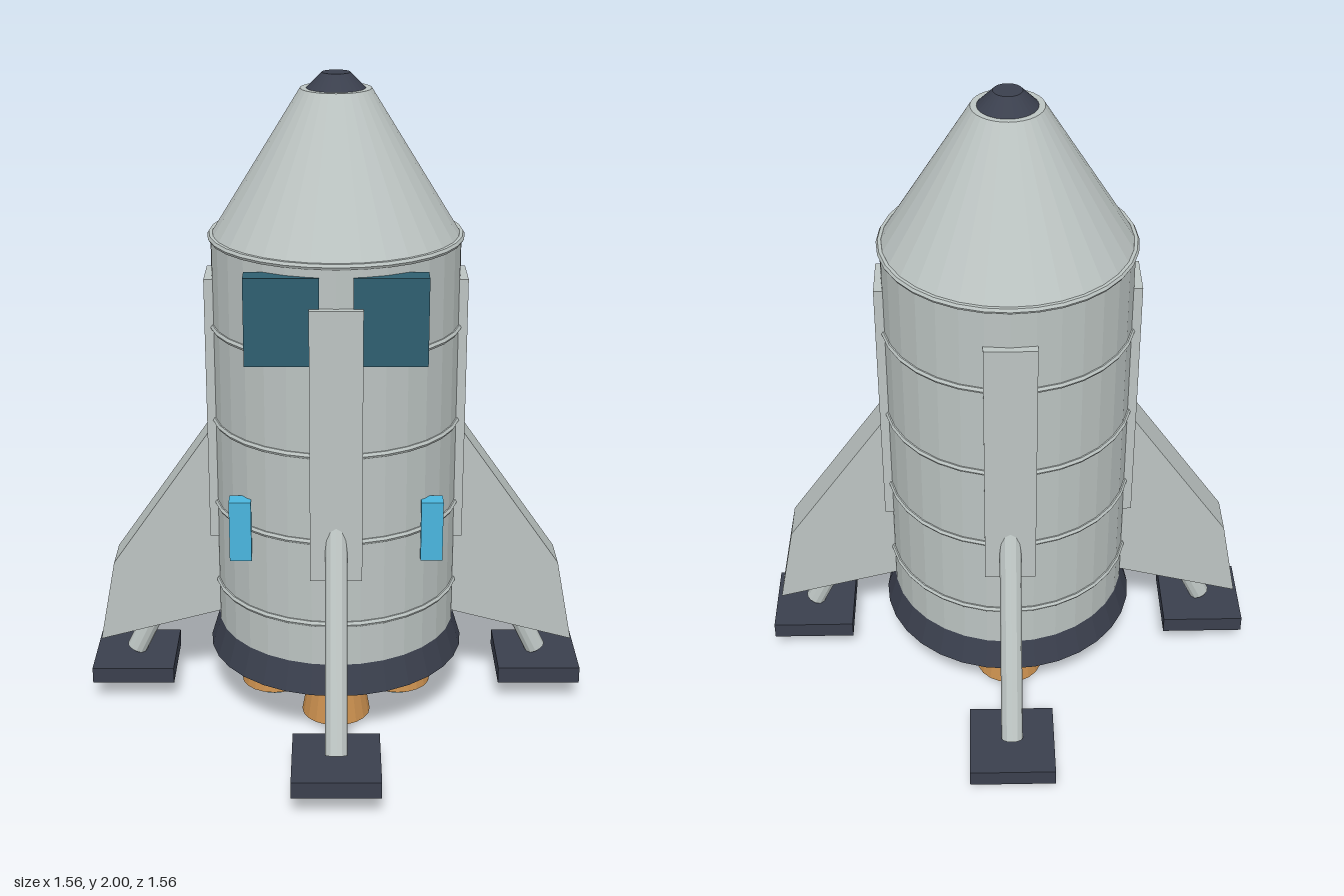
import * as THREE from 'three';

export function createModel() {
  const model = new THREE.Group();
  model.name = 'rocketLander';

  const material = (name, color, flatShading = false) => {
    const m = new THREE.MeshStandardMaterial({ color, flatShading });
    m.name = name;
    return m;
  };
  const hull = material('hullGrey', 0xbcc4c2, true);
  const dark = material('darkSlate', 0x3a3f4d, true);
  const glass = material('deepTeal', 0x2f5f70);
  const cyan = material('brightCyan', 0x4ab6de);
  const copper = material('copper', 0xc98f4e, true);

  const add = (name, geometry, mat, x = 0, y = 0, z = 0, parent = model) => {
    const mesh = new THREE.Mesh(geometry, mat);
    mesh.name = name;
    mesh.position.set(x, y, z);
    parent.add(mesh);
    return mesh;
  };
  // Tapered cylinder given by its lower and upper height
  const drum = (name, rTop, rBottom, y0, y1, mat, sides = 32, x = 0, z = 0) =>
    add(name, new THREE.CylinderGeometry(rTop, rBottom, y1 - y0, sides), mat, x, (y0 + y1) / 2, z);

  // Hull, nose and skirt
  drum('body', 0.375, 0.375, 0.27, 1.52, hull);
  drum('noseCone', 0.105, 0.375, 1.52, 1.955, hull);
  drum('noseCap', 0.042, 0.092, 1.95, 2.0, dark);
  drum('skirt', 0.375, 0.403, 0.18, 0.272, dark);

  // Seam rings
  for (const y of [0.41, 0.68, 0.953, 1.25, 1.522]) {
    add('seamRing', new THREE.TorusGeometry(0.374, 0.01, 6, 32), hull, 0, y, 0).rotation.x = Math.PI / 2;
  }

  // Panel, landing leg and engine on each of the four sides
  const legTop = new THREE.Vector3(0, 0.77, 0.34);
  const legEnd = new THREE.Vector3(0, 0.13, 0.65);
  const legDir = legTop.clone().sub(legEnd);
  for (let i = 0; i < 4; i++) {
    const side = new THREE.Group();
    side.name = 'side' + (i + 1);
    side.rotation.y = (i * Math.PI) / 2;
    model.add(side);

    add('sidePanel', new THREE.BoxGeometry(0.154, 0.835, 0.04), hull, 0, 0.9825, 0.374, side);
    const mid = legTop.clone().add(legEnd).multiplyScalar(0.5);
    const leg = add('landingLeg', new THREE.CylinderGeometry(0.033, 0.033, legDir.length(), 12),
      hull, mid.x, mid.y, mid.z, side);
    leg.quaternion.setFromUnitVectors(new THREE.Vector3(0, 1, 0), legDir.clone().normalize());
    add('footPad', new THREE.BoxGeometry(0.26, 0.052, 0.26), dark, 0, 0.096, 0.65, side);

    add('engineNozzle', new THREE.CylinderGeometry(0.075, 0.107, 0.18, 20), copper, 0, 0.11, 0.2, side);
    add('engineGlow', new THREE.CylinderGeometry(0.075, 0.075, 0.03, 20), cyan, 0, 0.015, 0.2, side);
  }

  // Swept fins
  const finShape = new THREE.Shape([
    [0.36, 0.3], [0.755, 0.195], [0.703, 0.465], [0.392, 0.91], [0.36, 0.91],
  ].map(([x, y]) => new THREE.Vector2(x, y)));
  const finGeometry = new THREE.ExtrudeGeometry(finShape, { depth: 0.132, bevelEnabled: false });
  finGeometry.translate(0, 0, -0.066);
  add('leftFin', finGeometry, hull);
  add('rightFin', finGeometry, hull).rotation.y = Math.PI;

  // Front windows and marker lights
  for (const s of [-1, 1]) {
    add('window', new THREE.BoxGeometry(0.214, 0.26, 0.066), glass, s * 0.155, 1.36, 0.345);
    add('markerLight', new THREE.BoxGeometry(0.066, 0.19, 0.056), cyan, s * 0.287, 0.68, 0.271);
  }
  return model;
}
